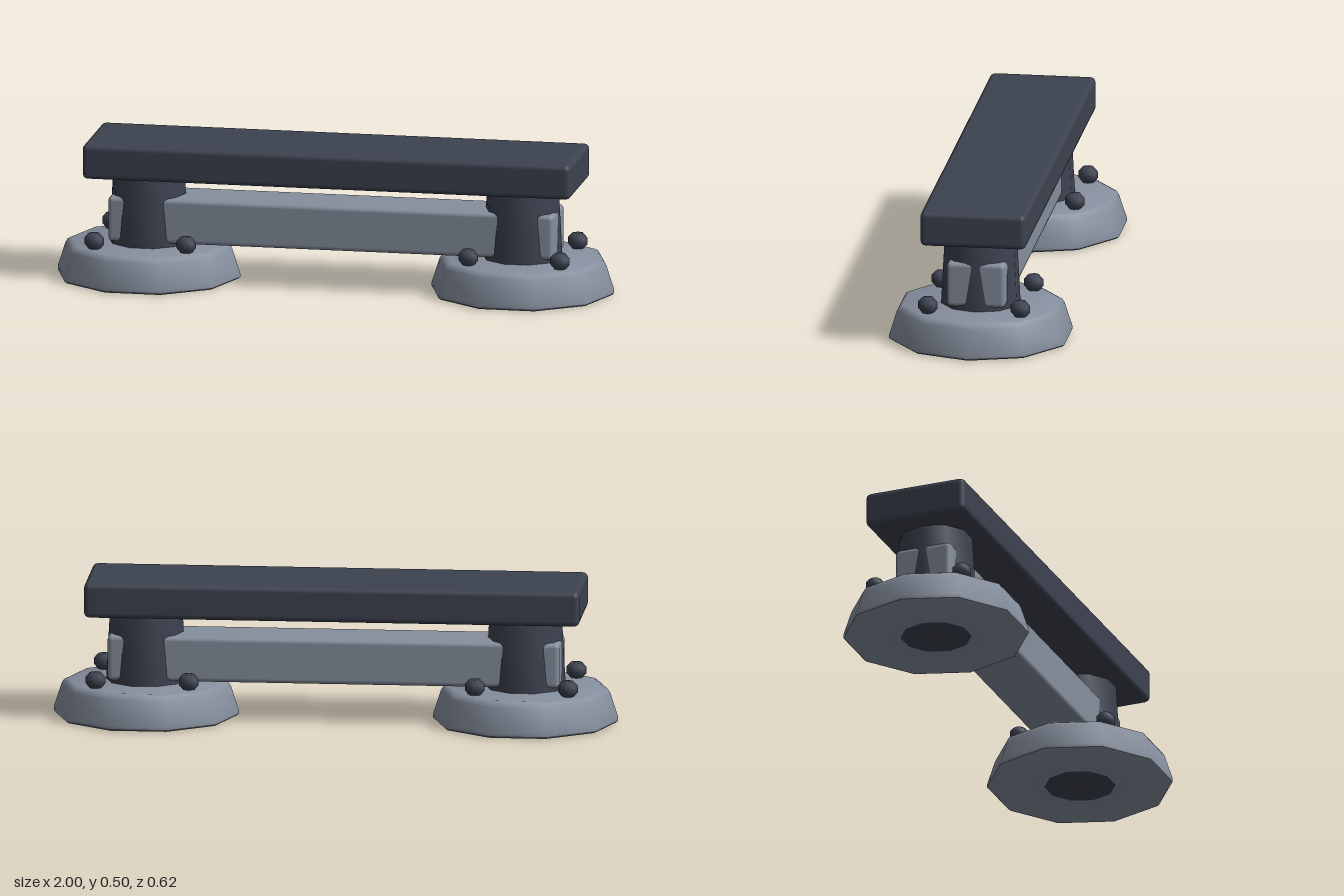
import * as THREE from 'three';
import { toCreasedNormals } from 'three/addons/utils/BufferGeometryUtils.js';
import { RoundedBoxGeometry } from 'three/addons/geometries/RoundedBoxGeometry.js';

// Closed turned solid with a vertex on the x axis; points are [radius, y] from bottom to top
function turned(points, sides, crease = 0.75) {
  const profile = points.map(([r, y]) => new THREE.Vector2(r, y));
  const geometry = new THREE.LatheGeometry(profile, sides, Math.PI / 2);
  return toCreasedNormals(geometry, crease);
}

export function createModel() {
  const dark = new THREE.MeshStandardMaterial({ color: 0x3d4250 });
  dark.name = 'darkSteel';
  const light = new THREE.MeshStandardMaterial({ color: 0x868f9e });
  light.name = 'lightSteel';

  const model = new THREE.Group();
  model.name = 'bench';
  const add = (parent, name, geometry, material, x = 0, y = 0, z = 0) => {
    const mesh = new THREE.Mesh(geometry, material);
    mesh.name = name;
    mesh.position.set(x, y, z);
    parent.add(mesh);
  };

  // Seat slab and the beam that runs through both columns
  add(model, 'seat', new RoundedBoxGeometry(1.755, 0.126, 0.377, 2, 0.02), dark, 0, 0.442, 0);
  add(model, 'crossBeam', new RoundedBoxGeometry(1.602, 0.162, 0.21, 2, 0.017), light, 0, 0.22, 0);

  // Ten-sided foot, tapered column and bolt
  const foot = turned([[0, 0.001], [0.32, 0.001], [0.328, 0.007], [0.328, 0.02],
    [0.3, 0.107], [0.292, 0.12], [0.278, 0.127], [0, 0.127]], 10);
  const column = turned([[0, 0], [0.125, 0], [0.148, 0.02], [0.128, 0.39], [0, 0.39]], 10);
  const bolt = turned([[0, 0.126], [0.021, 0.126], [0.035, 0.142], [0.035, 0.165],
    [0.021, 0.181], [0, 0.181]], 8, 1);

  for (const side of [-1, 1]) {
    const leg = new THREE.Group();
    leg.name = side > 0 ? 'leftLeg' : 'rightLeg';
    leg.position.x = side * 0.672;
    add(leg, 'foot', foot, light);
    add(leg, 'column', column, dark);
    for (const dx of [-0.165, 0.165]) {
      for (const dz of [-0.165, 0.165]) add(leg, 'bolt', bolt, dark, dx, 0, dz);
    }
    model.add(leg);
  }
  return model;
}
